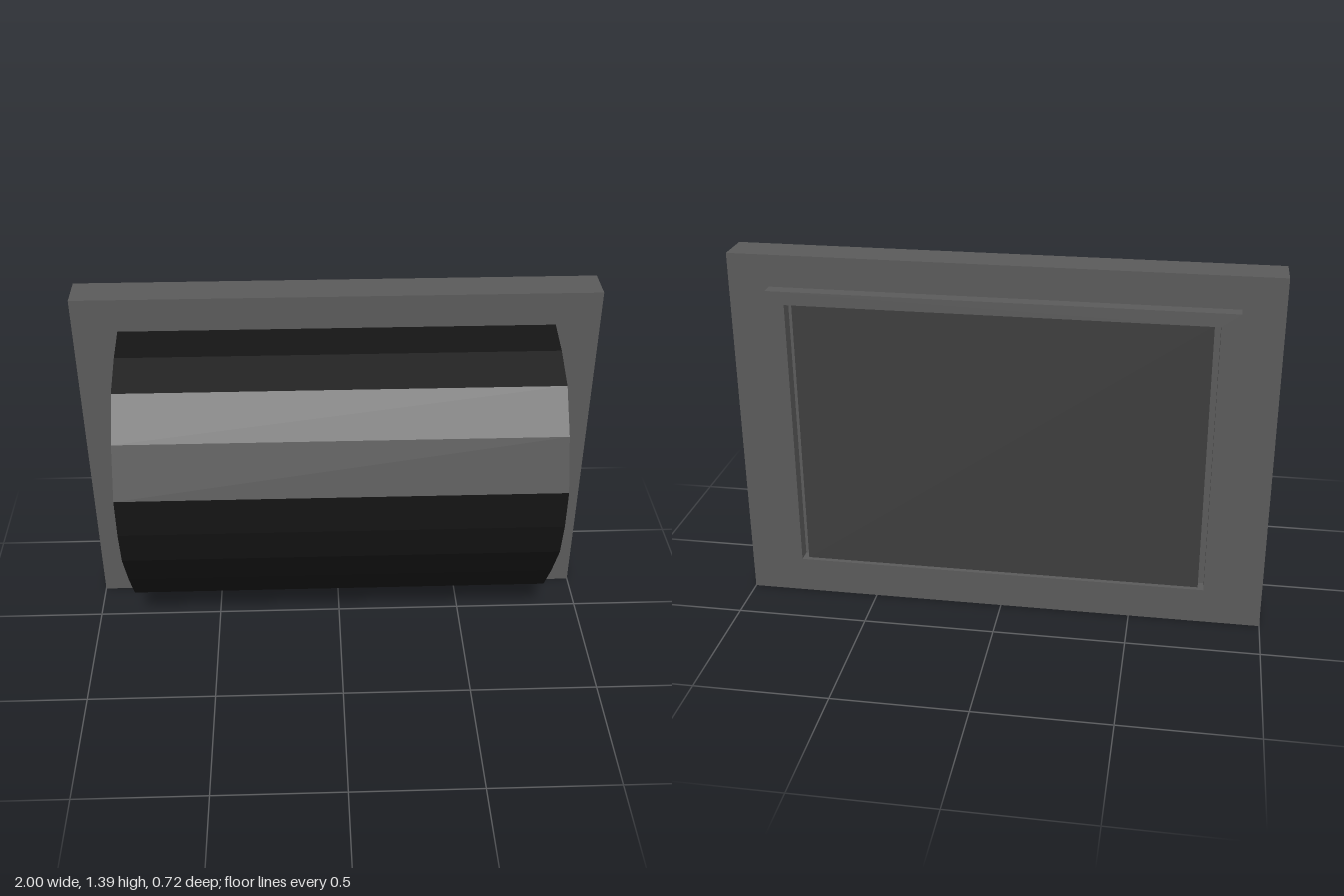
import * as THREE from 'three';

const paint = (color) => new THREE.MeshStandardMaterial({ color });

function part(name, geometry, material, z = 0) {
  const mesh = new THREE.Mesh(geometry, material);
  mesh.name = name;
  mesh.position.z = z;
  return mesh;
}

const corners = (x, y0, y1) => [[-x, y0], [x, y0], [x, y1], [-x, y1]].map(([a, b]) => new THREE.Vector2(a, b));

export function createModel() {
  const model = new THREE.Group();
  model.name = 'wallPanelWithCurvedCover';
  const grey = paint(0x5a5a5a);
  const dark = paint(0x131313);

  // Thick backing slab
  const slab = new THREE.BoxGeometry(2, 1.39, 0.142).translate(0, 0.695, 0);
  model.add(part('backingSlab', slab, grey, -0.238));

  // Raised rectangular frame on the back
  const frame = new THREE.Shape(corners(0.848, 0.12, 1.27));
  frame.holes.push(new THREE.Path(corners(0.78, 0.17, 1.22)));
  const frameGeometry = new THREE.ExtrudeGeometry(frame, { depth: 0.055, bevelEnabled: false });
  model.add(part('backFrame', frameGeometry, grey, -0.36));

  // Darker panel inside the frame, just below its face, with a narrow gap at each side
  const panel = new THREE.BoxGeometry(1.516, 1.05, 0.04).translate(0, 0.695, 0);
  model.add(part('recessedPanel', panel, paint(0x3d3d3d), -0.322));

  // Faceted curved cover, open at both ends; profile points are [z, y]
  const outer = [[-0.17, 1.258], [-0.018, 1.229], [0.137, 1.17], [0.262, 1.03], [0.355, 0.845],
    [0.355, 0.69], [0.328, 0.55], [0.229, 0.376], [0.125, 0.221], [-0.022, 0.133], [-0.17, 0.103]];
  const inner = [[-0.17, 1.2], [-0.03, 1.166], [0.114, 1.107], [0.218, 1.0], [0.308, 0.83],
    [0.308, 0.69], [0.284, 0.568], [0.192, 0.402], [0.092, 0.258], [-0.04, 0.188], [-0.17, 0.166]];
  const profile = new THREE.Shape([...outer, ...inner.reverse()].map(([z, y]) => new THREE.Vector2(z, y)));
  const cover = new THREE.ExtrudeGeometry(profile, { depth: 1.66, bevelEnabled: false });
  cover.translate(0, 0, -0.83).rotateY(-Math.PI / 2);
  model.add(part('curvedCover', cover, dark));

  return model;
}
